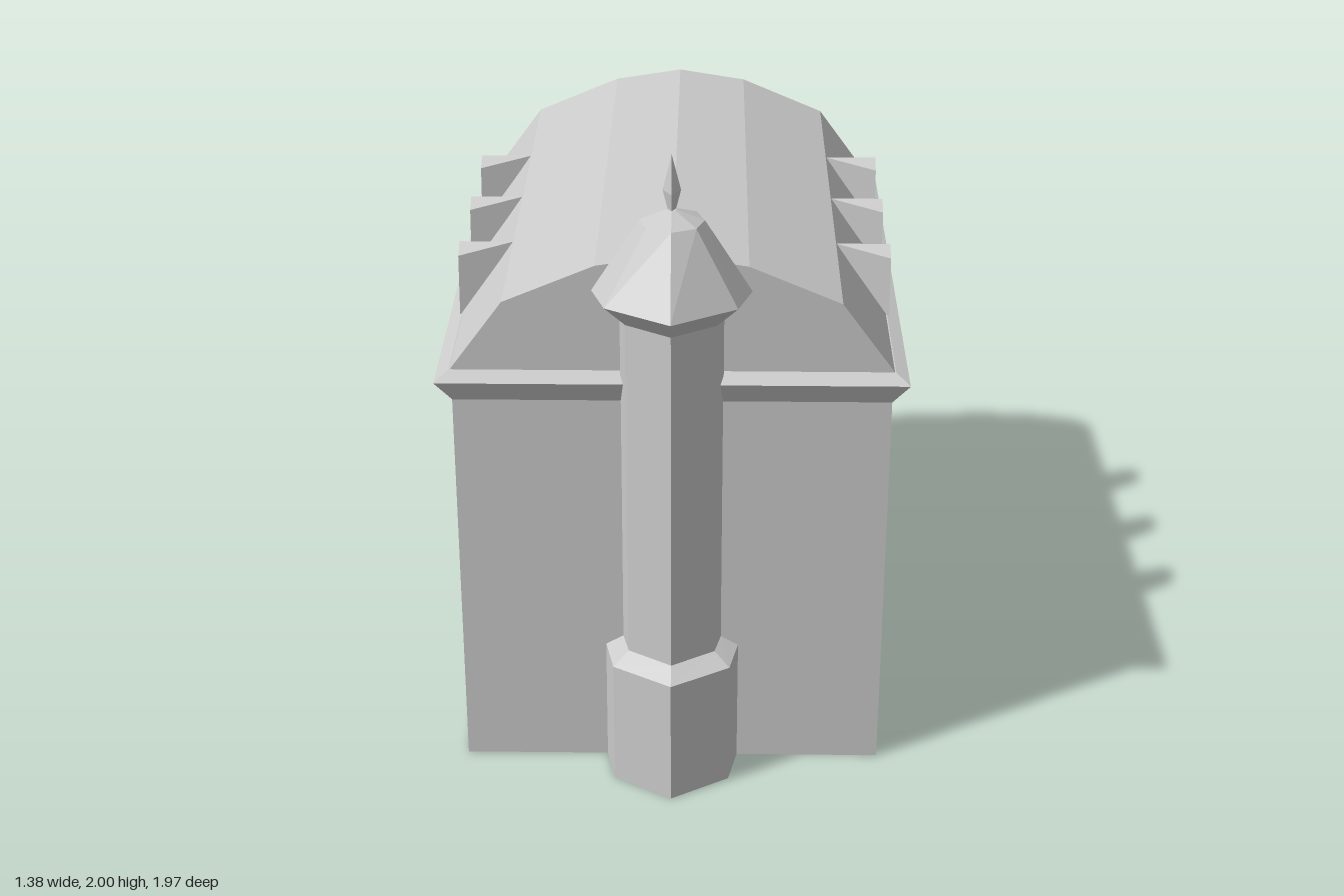
import * as THREE from 'three';
import { ConvexGeometry } from 'three/addons/geometries/ConvexGeometry.js';

const material = new THREE.MeshStandardMaterial({ color: 0xcccccc, flatShading: true });

// Skin a stack of horizontal rings (each { y, points: [[x, z], ...] }, anticlockwise from above)
function loft(rings) {
  const pos = [];
  const tri = (...corners) => corners.forEach(([r, i]) => {
    const [x, z] = r.points[i % r.points.length];
    pos.push(x, r.y, z);
  });
  const n = rings[0].points.length;
  for (let k = 0; k < rings.length - 1; k++) {
    const lo = rings[k], hi = rings[k + 1];
    for (let i = 0; i < n; i++) {
      tri([lo, i], [lo, i + 1], [hi, i + 1]);
      tri([lo, i], [hi, i + 1], [hi, i]);
    }
  }
  const bottom = rings[0], top = rings[rings.length - 1];
  for (let i = 1; i < n - 1; i++) {
    tri([bottom, 0], [bottom, i + 1], [bottom, i]);
    tri([top, 0], [top, i], [top, i + 1]);
  }
  const geometry = new THREE.BufferGeometry();
  geometry.setAttribute('position', new THREE.Float32BufferAttribute(pos, 3));
  geometry.computeVertexNormals();
  return geometry;
}

// Rectangle ring
const rect = (y, x, zBack, zFront) => ({
  y, points: [[-x, zFront], [x, zFront], [x, zBack], [-x, zBack]],
});

// Eight-sided turret ring: front, front-side, side, back-side and back corners, mirrored in x
const TURRET_Z = 0.745;
function turretRing(y, front, [dx, dz], side, backSide, back) {
  const half = [[0, front], [dx, dz], [side, 0], [backSide, -backSide], [0, -back]];
  const mirrored = half.slice(1, 4).reverse().map(([x, z]) => [-x, z]);
  return { y, points: [...half, ...mirrored].map(([x, z]) => [x, z + TURRET_Z]) };
}

export function createModel() {
  const model = new THREE.Group();
  const add = (name, geometry, parent = model) => {
    const mesh = new THREE.Mesh(geometry, material);
    mesh.name = name;
    parent.add(mesh);
    return mesh;
  };

  // Walls and flared cornice
  add('walls', loft([rect(0, 0.64, -0.94, 0.75), rect(1.24, 0.64, -0.94, 0.75)]));
  add('cornice', loft([
    rect(1.24, 0.64, -0.94, 0.75),
    rect(1.31, 0.688, -0.983, 0.788),
    rect(1.325, 0.65, -0.92, 0.725),
  ]));

  // Faceted barrel roof
  const profile = [[0.65, 1.32], [0.49, 1.54], [0.22, 1.655], [0, 1.69],
    [-0.22, 1.655], [-0.49, 1.54], [-0.65, 1.32]];
  const roofShape = new THREE.Shape(profile.map(([x, y]) => new THREE.Vector2(x, y)));
  const roof = new THREE.ExtrudeGeometry(roofShape, { depth: 1.645, bevelEnabled: false });
  add('roof', roof.translate(0, 0, -0.92));

  // Pointed dormers, three on each side
  const dormers = new THREE.Group();
  dormers.name = 'dormers';
  model.add(dormers);
  for (const side of [-1, 1]) {
    for (const z of [0.27, -0.1, -0.47]) {
      const corners = [[0.655, 1.32, 0.067], [0.655, 1.32, -0.067], [0.655, 1.51, 0.05],
        [0.655, 1.51, -0.05], [0.655, 1.537, 0], [0.49, 1.537, 0]];
      const points = corners.map(([x, y, dz]) => new THREE.Vector3(side * x, y, z + dz));
      add('dormer', new ConvexGeometry(points), dormers);
    }
  }

  // Corner-fronted turret: plinth, shaft and cap
  const turret = new THREE.Group();
  turret.name = 'turret';
  model.add(turret);
  const plinth = [0.24, [0.175, 0.133], 0.203, 0.15, 0.2];
  const shaft = [0.17, [0.13, 0.088], 0.15, 0.1, 0.14];
  add('turretPlinth', loft([
    turretRing(0, ...plinth), turretRing(0.405, ...plinth), turretRing(0.435, ...shaft),
  ]), turret);
  add('turretShaft', loft([turretRing(0.43, ...shaft), turretRing(1.52, ...shaft)]), turret);
  add('turretCap', loft([
    turretRing(1.52, ...shaft),
    turretRing(1.588, 0.24, [0.188, 0.125], 0.23, 0.165, 0.235),
    turretRing(1.805, 0.095, [0.07, 0.065], 0.093, 0.068, 0.095),
    turretRing(1.837, 0.015, [0.01, 0.01], 0.015, 0.01, 0.015),
  ]), turret);

  // Three-sided spearhead finial
  const finialBase = new THREE.CylinderGeometry(0.03, 0.012, 0.06, 3);
  add('finialBase', finialBase.translate(0, 1.86, TURRET_Z), turret);
  const finialTip = new THREE.ConeGeometry(0.03, 0.11, 3);
  add('finialTip', finialTip.translate(0, 1.945, TURRET_Z), turret);

  return model;
}
